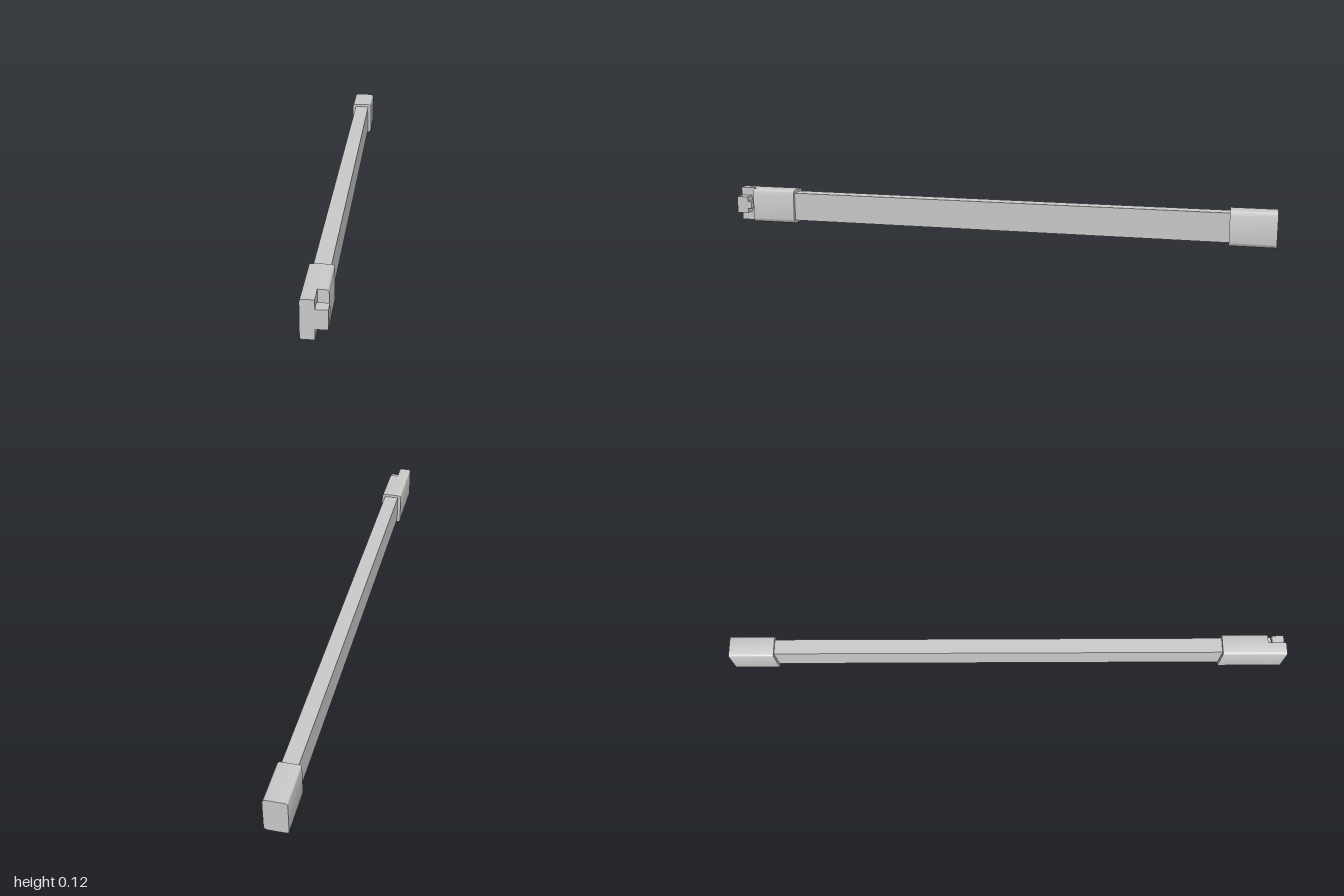
import * as THREE from 'three';
import { toCreasedNormals } from 'three/addons/utils/BufferGeometryUtils.js';

const material = new THREE.MeshStandardMaterial({ color: 0xcccccc });

// Rectangle outline with separate corner radii for the -x and +x sides
function outline(x0, x1, y0, y1, rLeft, rRight) {
  const s = new THREE.Shape();
  s.moveTo(x0 + rLeft, y0);
  s.lineTo(x1 - rRight, y0);
  if (rRight) s.quadraticCurveTo(x1, y0, x1, y0 + rRight);
  s.lineTo(x1, y1 - rRight);
  if (rRight) s.quadraticCurveTo(x1, y1, x1 - rRight, y1);
  s.lineTo(x0 + rLeft, y1);
  if (rLeft) s.quadraticCurveTo(x0, y1, x0, y1 - rLeft);
  s.lineTo(x0, y0 + rLeft);
  if (rLeft) s.quadraticCurveTo(x0, y0, x0 + rLeft, y0);
  return s;
}

// Extrude an outline between two z positions
function prism(name, shape, z0, z1) {
  const geo = new THREE.ExtrudeGeometry(shape, { depth: z1 - z0, bevelEnabled: false, curveSegments: 6 });
  geo.translate(0, 0, z0);
  const mesh = new THREE.Mesh(toCreasedNormals(geo, 0.6), material);
  mesh.name = name;
  return mesh;
}

export function createModel() {
  const group = new THREE.Group();
  group.name = 'barWithEndCaps';
  const L = -0.041, R = 0.037, H = 0.125, mid = 0.003;
  const capShape = outline(L, R, 0, H, 0.009, 0.014);

  // Long rectangular bar, running into both caps
  group.add(prism('bar', outline(-0.029, 0.025, 0.011, 0.115, 0, 0), -0.86, 0.79));

  // Plain cap at the back
  group.add(prism('backCap', capShape, -1, -0.84));

  // Front cap: full sleeve, then a half-width plate reaching the end
  const front = new THREE.Group();
  front.name = 'frontCap';
  front.add(prism('frontSleeve', capShape, 0.77, 0.935));
  front.add(prism('frontPlate', outline(L, mid, 0, H, 0.009, 0), 0.935, 1));

  // T-shaped catch standing out from the plate
  front.add(prism('catchHead', outline(mid, 0.041, 0.033, 0.095, 0, 0), 0.957, 1));
  front.add(prism('catchStem', outline(mid, 0.041, 0.05, 0.077, 0, 0), 0.943, 0.957));
  group.add(front);
  return group;
}
